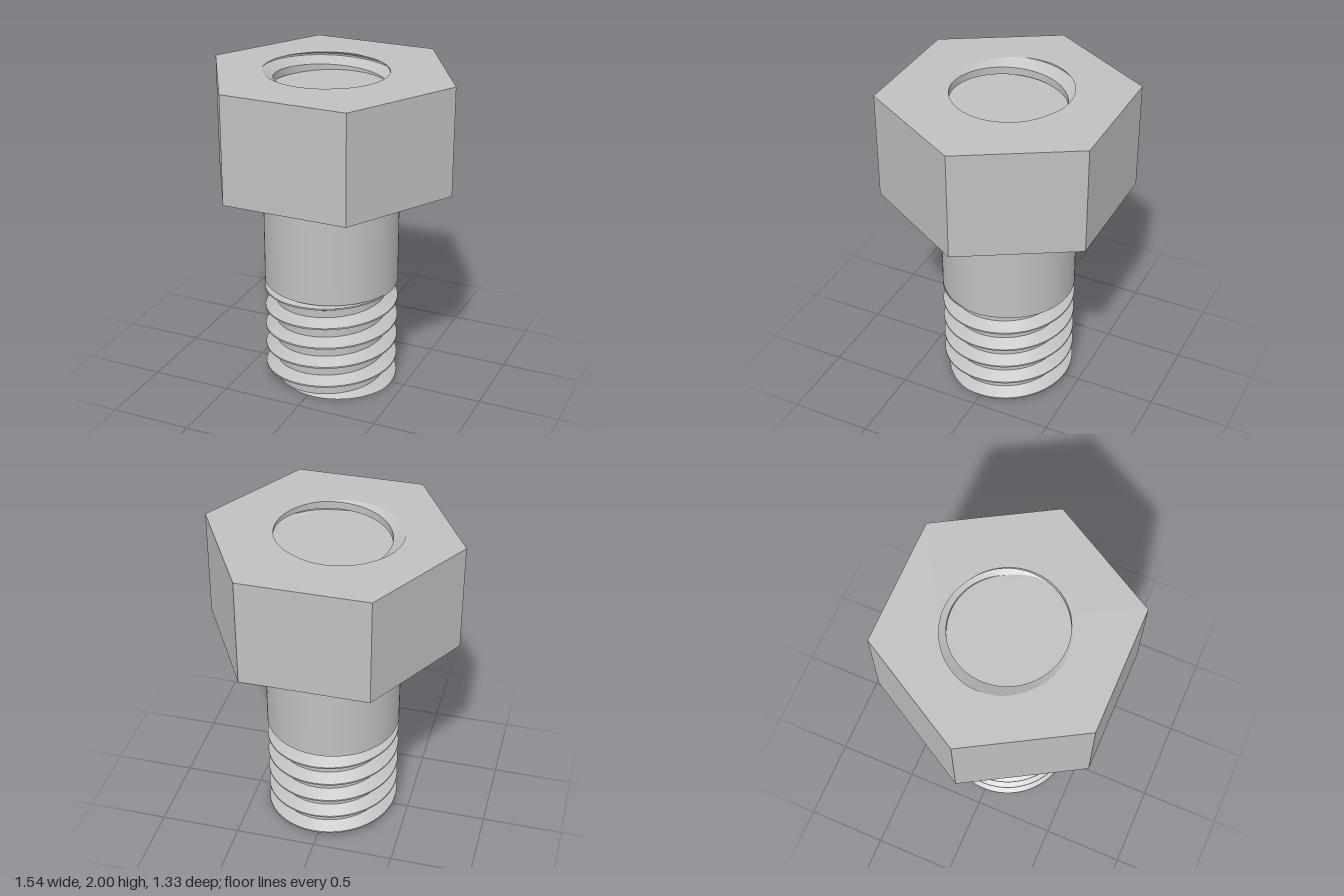
import * as THREE from 'three';
import { toCreasedNormals } from 'three/addons/utils/BufferGeometryUtils.js';

const TAU = Math.PI * 2;
const SEG = 96;
const PITCH = 2 / 15;
const ROOT = 0.344, CREST = 0.415;
const FLAT = 0.005, HALF = 0.043; // half widths of the thread crest and base
const HEAD_Y = 4 / 3, SHANK_Y = 2 / 3, RECESS_Y = 1.9;

// Thread radius at an angle and height; y0 is a crest height at angle 0
function threadRadius(a, y, y0) {
  const u = (y - y0) / PITCH + a / TAU;
  const d = Math.abs(u - Math.round(u)) * PITCH;
  const t = THREE.MathUtils.clamp((d - FLAT) / (HALF - FLAT), 0, 1);
  return THREE.MathUtils.lerp(CREST, ROOT, t);
}

// Helical wall between two heights, its rows following the thread
function threadWall(yMin, yMax, y0, inward) {
  const offsets = [-HALF, -FLAT, FLAT, HALF];
  const k0 = Math.floor((yMin - y0) / PITCH) - 1;
  const k1 = Math.ceil((yMax - y0) / PITCH) + 2;
  const pos = [], index = [];
  const rows = (k1 - k0 + 1) * offsets.length;
  for (let i = 0; i <= SEG; i++) {
    const a = (i / SEG) * TAU;
    for (let k = k0; k <= k1; k++) {
      for (const o of offsets) {
        const y = THREE.MathUtils.clamp(y0 + (k - a / TAU) * PITCH + o, yMin, yMax);
        const r = threadRadius(a, y, y0);
        pos.push(r * Math.cos(a), y, r * Math.sin(a));
      }
    }
  }
  for (let i = 0; i < SEG; i++) {
    for (let j = 0; j < rows - 1; j++) {
      const a = i * rows + j, b = a + rows, c = a + 1, d = b + 1;
      if (inward) index.push(a, b, c, b, d, c);
      else index.push(a, c, b, b, c, d);
    }
  }
  const g = new THREE.BufferGeometry();
  g.setAttribute('position', new THREE.Float32BufferAttribute(pos, 3));
  g.setIndex(index);
  return toCreasedNormals(g, 0.4);
}

// Outline of the thread cut at one height
function threadOutline(y, y0, zSign) {
  return Array.from({ length: SEG }, (_, i) => {
    const a = (i / SEG) * TAU, r = threadRadius(a, y, y0);
    return new THREE.Vector2(r * Math.cos(a), zSign * r * Math.sin(a));
  });
}

// Flat horizontal face, turned up or down
function flatFace(shape, y, up) {
  return new THREE.ShapeGeometry(shape).rotateX(up ? -Math.PI / 2 : Math.PI / 2).translate(0, y, 0);
}

export function createModel() {
  const model = new THREE.Group();
  model.name = 'hexBolt';
  const steel = new THREE.MeshStandardMaterial({ color: 0xc0c0c0 });
  steel.name = 'steel grey';
  const add = (name, geometry, parent) => {
    const mesh = new THREE.Mesh(geometry, steel);
    mesh.name = name;
    parent.add(mesh);
  };

  // Hexagonal head with a shallow threaded recess
  const head = new THREE.Group();
  head.name = 'head';
  model.add(head);
  const R = 0.77;
  const hexagon = () => new THREE.Shape(Array.from({ length: 6 }, (_, i) =>
    new THREE.Vector2(R * Math.cos(i * TAU / 6), R * Math.sin(i * TAU / 6))));
  const sides = new THREE.CylinderGeometry(R, R, 2 - HEAD_Y, 6, 1, true, Math.PI / 2);
  add('headSides', toCreasedNormals(sides, 0.3).translate(0, (2 + HEAD_Y) / 2, 0), head);
  add('headUnderside', flatFace(hexagon(), HEAD_Y, false), head);
  const recessPhase = 2 + PITCH / 2;
  const top = hexagon();
  top.holes.push(new THREE.Path(threadOutline(2, recessPhase, -1)));
  add('headTop', flatFace(top, 2, true), head);
  add('recessWall', threadWall(RECESS_Y, 2, recessPhase, true), head);
  add('recessFloor', flatFace(new THREE.Shape(threadOutline(RECESS_Y, recessPhase, -1)), RECESS_Y, true), head);

  // Smooth shank
  add('shank', new THREE.CylinderGeometry(CREST, CREST, HEAD_Y - SHANK_Y, SEG)
    .translate(0, (HEAD_Y + SHANK_Y) / 2, 0), model);

  // Threaded end
  const thread = new THREE.Group();
  thread.name = 'threadedEnd';
  model.add(thread);
  add('threadWall', threadWall(0, SHANK_Y, 0, false), thread);
  add('threadTip', flatFace(new THREE.Shape(threadOutline(0, 0, 1)), 0, false), thread);

  return model;
}
